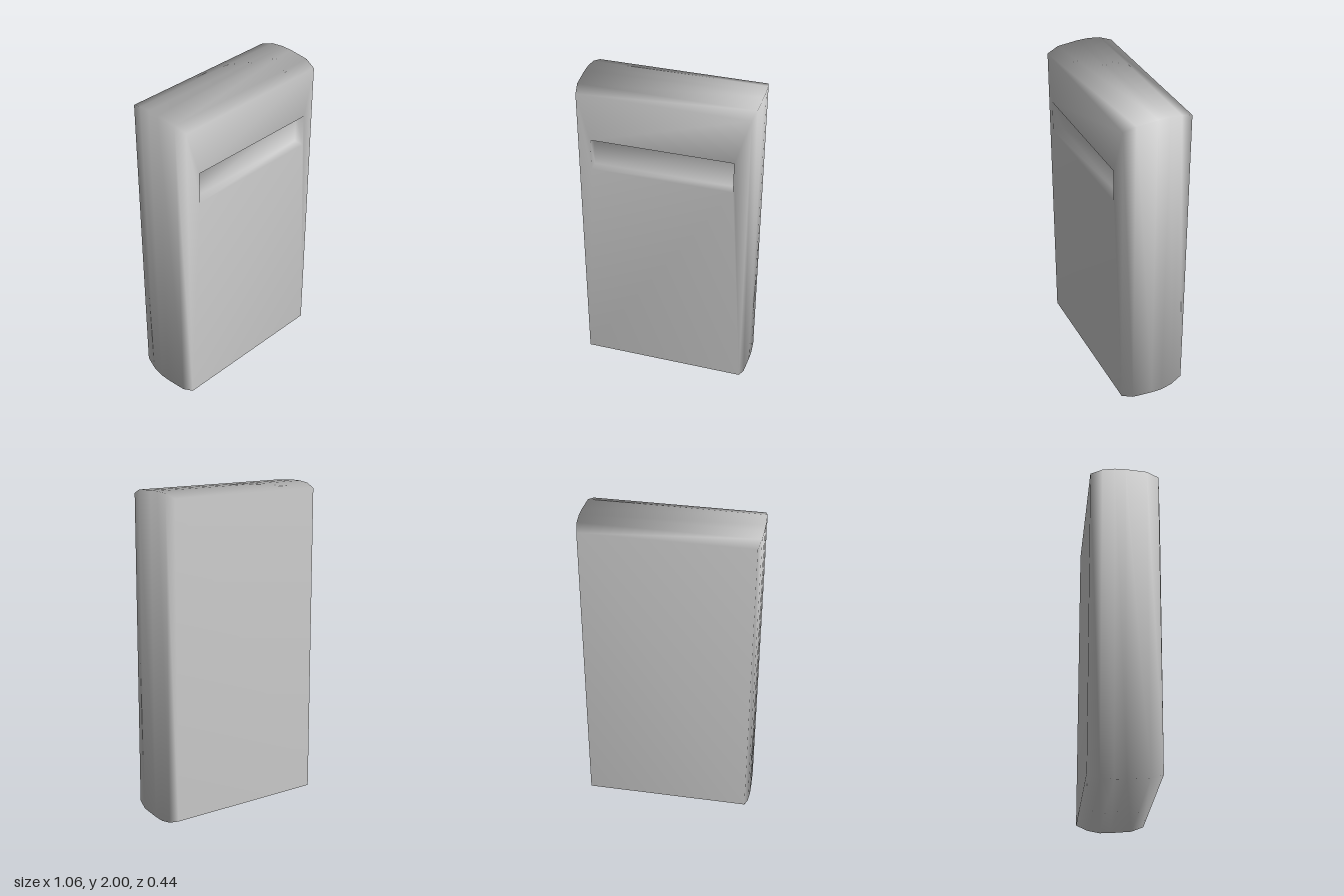
import * as THREE from 'three';

// Rectangular cross-sections from the slot floor out over the front and along to the back:
// [xMin, xMax, yMin, yMax, z]
const SECTIONS = [
  [-0.43, 0.425, 1.48, 1.68, 0.155], // slot floor
  [-0.43, 0.425, 1.48, 1.68, 0.217], // slot rim
  [-0.51, 0.51, 0.04, 1.965, 0.203], // front edge
  [-0.525, 0.525, 0.014, 1.992, 0.13],
  [-0.53, 0.53, 0.003, 2.0, 0.0],
  [-0.53, 0.53, 0.0, 2.0, -0.07],
  [-0.525, 0.525, 0.012, 1.992, -0.145],
  [-0.51, 0.51, 0.04, 1.967, -0.218], // back edge
];

// Skins the rectangles into one closed, smoothly shaded shell
function loftRectangles(sections) {
  const positions = [];
  const index = [];
  for (const [x0, x1, y0, y1, z] of sections) {
    positions.push(x0, y0, z, x1, y0, z, x1, y1, z, x0, y1, z);
  }
  for (let s = 0; s < sections.length - 1; s++) {
    for (let k = 0; k < 4; k++) {
      const a = s * 4 + k;
      const b = s * 4 + ((k + 1) % 4);
      index.push(a + 4, b + 4, b, a + 4, b, a);
    }
  }
  const last = (sections.length - 1) * 4;
  index.push(0, 1, 2, 0, 2, 3); // slot floor
  index.push(last, last + 2, last + 1, last, last + 3, last + 2); // back panel

  const geometry = new THREE.BufferGeometry();
  geometry.setAttribute('position', new THREE.Float32BufferAttribute(positions, 3));
  geometry.setIndex(index);
  geometry.computeVertexNormals();
  return geometry;
}

export function createModel() {
  const group = new THREE.Group();
  group.name = 'slottedCase';

  // Softly bulged case with a shallow slot near the top of its front
  const body = new THREE.Mesh(
    loftRectangles(SECTIONS),
    new THREE.MeshStandardMaterial({ color: 0xcccccc })
  );
  body.name = 'caseBody';
  group.add(body);
  return group;
}
